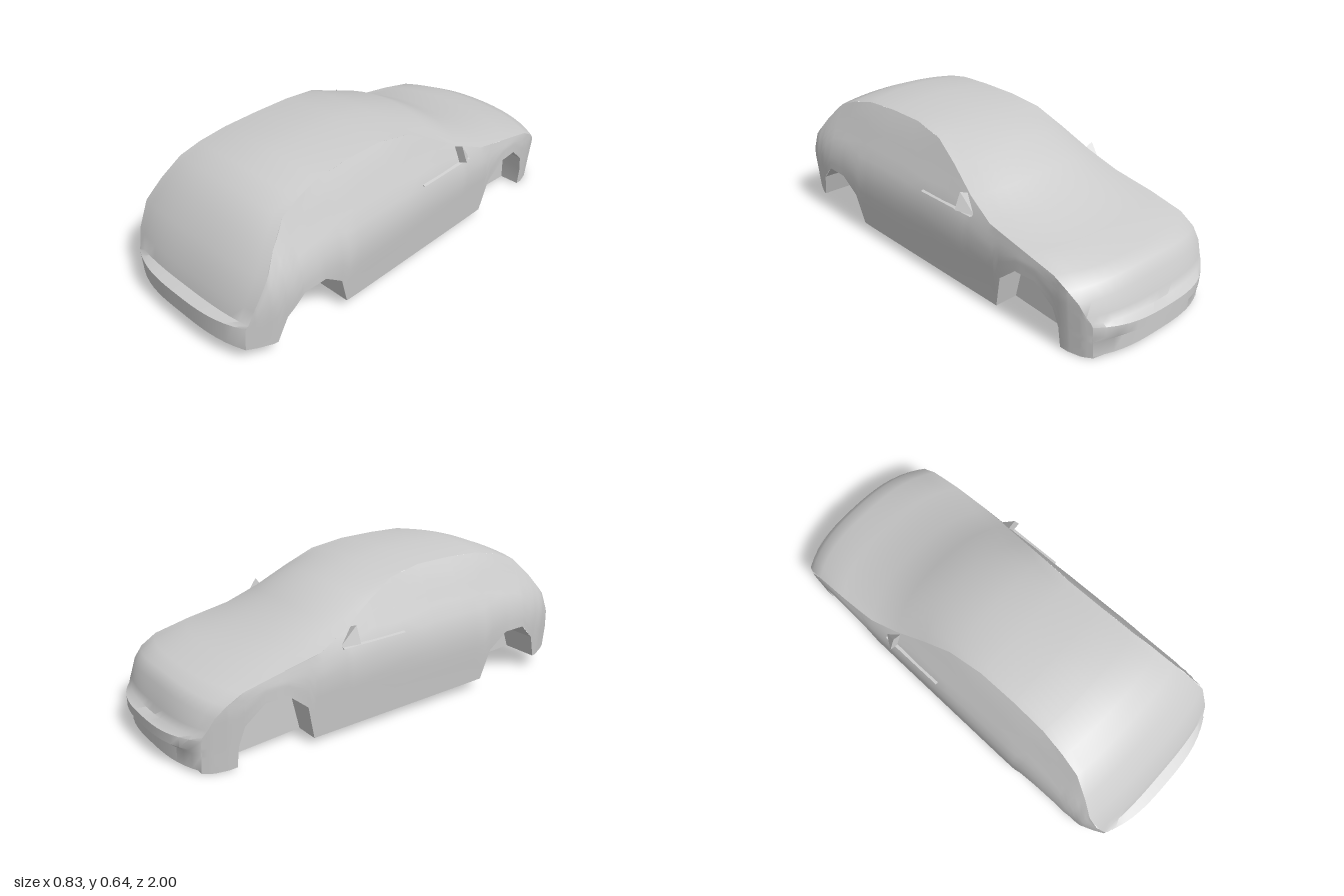
import * as THREE from 'three';
import { mergeGeometries, toCreasedNormals } from 'three/addons/utils/BufferGeometryUtils.js';
import { ConvexGeometry } from 'three/addons/geometries/ConvexGeometry.js';

// Linear lookup in a table of [t, value] sorted by t
function lookup(table, t) {
  if (t <= table[0][0]) return table[0][1];
  for (let i = 1; i < table.length; i++) {
    const [t0, a] = table[i - 1], [t1, b] = table[i];
    if (t <= t1) return a + (b - a) * (t - t0) / (t1 - t0 || 1);
  }
  return table[table.length - 1][1];
}

// Plan half width along z, and its scale by height
const plan = [[-0.915, 0.335], [-0.88, 0.355], [-0.82, 0.375], [-0.6, 0.387], [-0.3, 0.393],
  [0.1, 0.4], [0.4, 0.405], [0.75, 0.403], [0.84, 0.392], [0.9, 0.367], [0.94, 0.345]];
const tumblehome = [[0, 0.935], [0.1, 0.96], [0.25, 1], [0.31, 1], [0.38, 0.965],
  [0.46, 0.87], [0.6, 0.715], [0.63, 0.66]];
const halfWidth = (z, y) => lookup(plan, z) * lookup(tumblehome, y);

const sill = [[-0.915, 0.01], [-0.87, 0.005], [-0.45, 0.03], [0.46, 0.05], [0.82, 0.07], [0.94, 0.08]];
const arches = [
  { inner: 0.26, points: [[-0.785, 0.01], [-0.78, 0.1], [-0.755, 0.18], [-0.67, 0.255],
    [-0.57, 0.255], [-0.48, 0.18], [-0.445, 0.03]] },
  { inner: 0.21, points: [[0.46, 0.05], [0.5, 0.185], [0.59, 0.255], [0.7, 0.255], [0.78, 0.18], [0.82, 0.07]] },
];
const archAt = (z) => arches.find(({ points }) => z >= points[0][0] && z <= points[points.length - 1][0]);

// Centreline z, y and edge z, y from the tail, over the roof, to the nose
const stations = [
  [0.94, 0.08, 0.94, 0.08], [0.99, 0.09, 0.94, 0.08], [1, 0.19, 0.94, 0.19], [0.955, 0.207, 0.93, 0.205],
  [0.94, 0.27, 0.91, 0.27], [0.88, 0.4, 0.855, 0.38], [0.81, 0.49, 0.79, 0.47], [0.73, 0.575, 0.71, 0.555],
  [0.64, 0.61, 0.62, 0.59], [0.52, 0.64, 0.5, 0.615], [0.34, 0.642, 0.34, 0.622], [0.16, 0.64, 0.16, 0.62],
  [0, 0.62, 0, 0.595], [-0.2, 0.575, -0.13, 0.53], [-0.35, 0.49, -0.27, 0.45], [-0.5, 0.41, -0.41, 0.39],
  [-0.7, 0.365, -0.6, 0.355], [-0.84, 0.33, -0.76, 0.32], [-0.9, 0.31, -0.83, 0.28], [-0.935, 0.27, -0.87, 0.24],
  [-0.95, 0.19, -0.895, 0.19], [-0.965, 0.16, -0.91, 0.165], [-1, 0.145, -0.915, 0.15],
  [-1, 0.105, -0.915, 0.105], [-0.97, 0.085, -0.915, 0.085], [-0.97, 0.02, -0.915, 0.02], [-0.915, 0.01, -0.915, 0.01],
];

// Surface through rows of [x, y, z] points
function surface(rows, flip = false) {
  const n = rows[0].length, index = [];
  for (let i = 0; i < rows.length - 1; i++) {
    for (let j = 0; j < n - 1; j++) {
      const a = i * n + j, b = a + 1, c = b + n, d = a + n;
      index.push(...(flip ? [a, c, b, a, d, c] : [a, b, c, a, c, d]));
    }
  }
  const geo = new THREE.BufferGeometry();
  geo.setAttribute('position', new THREE.Float32BufferAttribute(rows.flat(2), 3));
  geo.setIndex(index);
  return geo;
}

// The same surface on the left (+x) and right (-x)
const bothSides = (rows) => [
  surface(rows, true),
  surface(rows.map((row) => row.map(([x, y, z]) => [-x, y, z]))),
];

// Roof, windscreens, bonnet and bumpers in one crowned skin
function topSkin() {
  const steps = 16;
  return surface(stations.map(([zc, yc, ze, ye]) => {
    const edge = halfWidth(ze, ye);
    return Array.from({ length: steps + 1 }, (_, j) => {
      const v = (2 * j) / steps - 1, a = Math.abs(v);
      return [v * edge, ye + (yc - ye) * (1 - a ** 1.8), ze + (zc - ze) * (1 - a ** 3)];
    });
  }));
}

// Body sides, from the sill or wheel arch up to the edge of the top skin
function sidePanels() {
  const edge = stations.slice(2, 23).map(([, , z, y]) => [z, y]).reverse();
  const zs = [...new Set([...edge, ...plan, ...sill, ...arches.flatMap((a) => a.points)].map((p) => p[0]))]
    .sort((a, b) => b - a);
  return bothSides(zs.map((z) => {
    const arch = archAt(z), top = lookup(edge, z);
    const low = arch ? lookup(arch.points, z) : lookup(sill, z);
    return Array.from({ length: 11 }, (_, j) => {
      const y = low + (top - low) * j / 10;
      return [halfWidth(z, y), y, z];
    });
  }));
}

// Flat floor, notched at the wheels
function floorPan() {
  const rows = [];
  const add = (z, inner) => {
    const y = lookup(sill, z), x = inner ?? halfWidth(z, y);
    rows.push([[-x, y, z], [x, y, z]]);
  };
  [0.94, 0.9, 0.84].forEach((z) => add(z));
  for (const { inner, points } of [...arches].reverse()) {
    const front = points[0][0], rear = points[points.length - 1][0];
    add(rear); add(rear, inner); add(front, inner); add(front);
  }
  [-0.82, -0.87, -0.915].forEach((z) => add(z));
  return surface(rows, true);
}

// Arch lining and inner wall of each wheel well
function wheelWells() {
  return arches.flatMap(({ inner, points }) => {
    const path = [...points].reverse();
    return [
      ...bothSides(path.map(([z, y]) => [[inner, y, z], [halfWidth(z, y), y, z]])),
      ...bothSides(path.map(([z, y]) => [[inner, lookup(sill, z), z], [inner, y, z]])),
    ];
  });
}

export function createModel() {
  const group = new THREE.Group();
  const material = new THREE.MeshStandardMaterial({ color: 0xcccccc });
  const add = (name, geo) => {
    const mesh = new THREE.Mesh(geo, material);
    mesh.name = name;
    group.add(mesh);
  };

  add('body', toCreasedNormals(mergeGeometries([topSkin(), ...sidePanels()]), 0.7));
  add('floor', toCreasedNormals(floorPan(), 0.3));
  add('wheelWells', toCreasedNormals(mergeGeometries(wheelWells()), 0.3));

  // Door mirrors and the trim along the window base
  for (const [side, s] of [['left', 1], ['right', -1]]) {
    const corners = [[0.415, 0.4, -0.25], [0.385, 0.47, -0.25], [0.345, 0.453, -0.25],
      [0.375, 0.385, -0.25], [0.37, 0.385, -0.32]];
    add(side + 'Mirror', new ConvexGeometry(corners.map(([x, y, z]) => new THREE.Vector3(s * x, y, z))));
    const trim = [[0.375, 0.378, 0], [0.391, 0.385, 0], [0.375, 0.39, 0], [0.37, 0.378, -0.31],
      [0.387, 0.383, -0.31], [0.37, 0.388, -0.31]];
    add(side + 'WindowTrim', new ConvexGeometry(trim.map(([x, y, z]) => new THREE.Vector3(s * x, y, z))));
  }
  return group;
}
